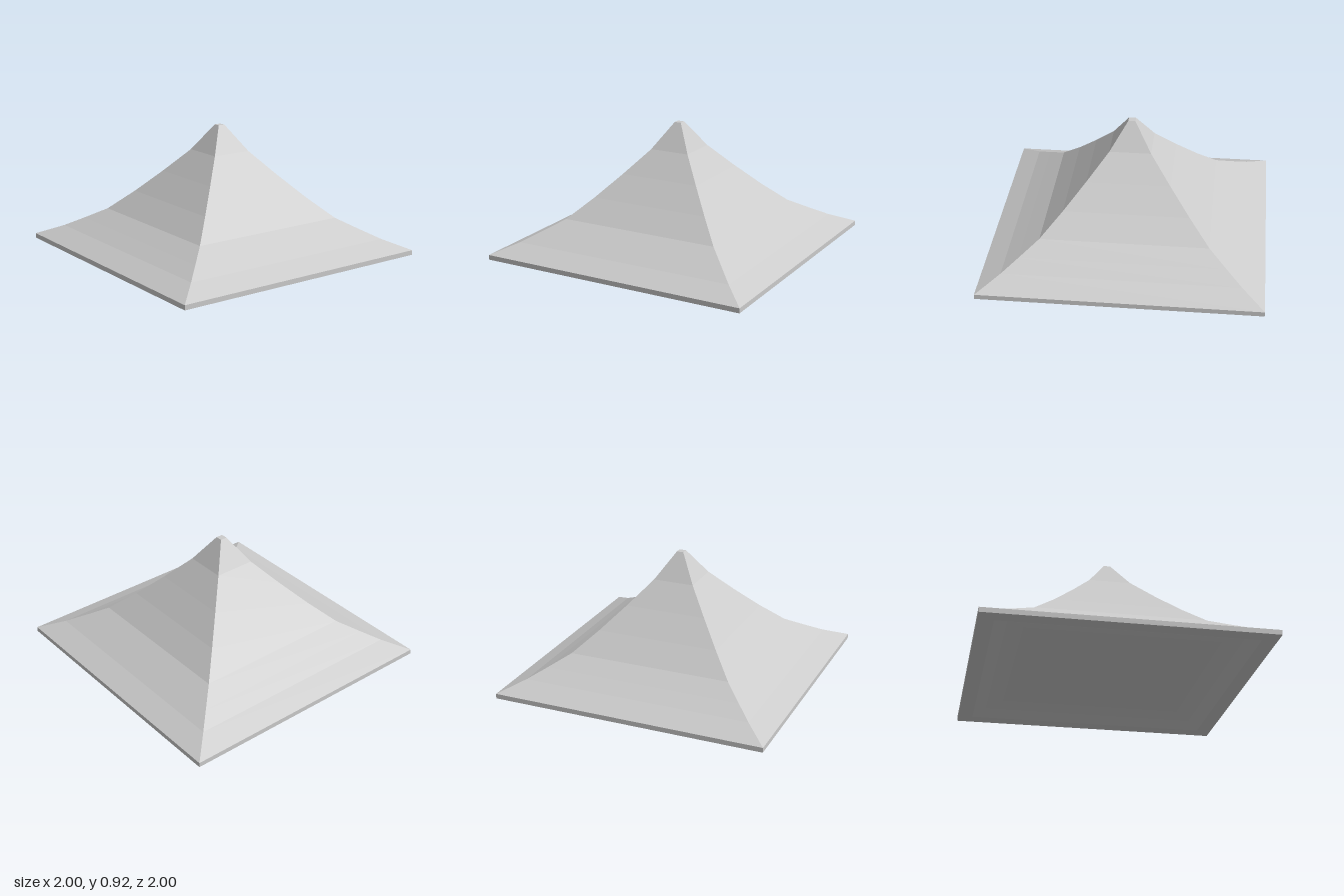
import * as THREE from 'three';

const material = new THREE.MeshStandardMaterial({ color: 0xcccccc, flatShading: true });

// Square shell swept from [half width, height] pairs; listed bottom-outward then up.
function squareShell(name, profile) {
  const points = profile.map(([half, y]) => new THREE.Vector2(half * Math.SQRT2, y));
  const geometry = new THREE.LatheGeometry(points, 4, Math.PI / 4).toNonIndexed();
  geometry.computeVertexNormals();
  const mesh = new THREE.Mesh(geometry, material);
  mesh.name = name;
  return mesh;
}

export function createModel() {
  const group = new THREE.Group();
  group.name = 'pyramidRoof';

  // Recessed ceiling, stepping down to the flat rim
  group.add(squareShell('underside', [
    [0, 0.065], [0.68, 0.065], [0.8, 0.04], [0.89, 0], [1, 0],
  ]));

  // Thin vertical edge around the eaves
  group.add(squareShell('eaveEdge', [[1, 0], [1, 0.035]]));

  // Concave slopes rising to the peak
  group.add(squareShell('roofSlopes', [
    [1, 0.035], [0.84, 0.11], [0.73, 0.175], [0.6, 0.255],
    [0.45, 0.4], [0.3, 0.56], [0.15, 0.73], [0.025, 0.92],
  ]));

  // Small flat top
  group.add(squareShell('peakCap', [[0.025, 0.92], [0, 0.92]]));

  return group;
}
